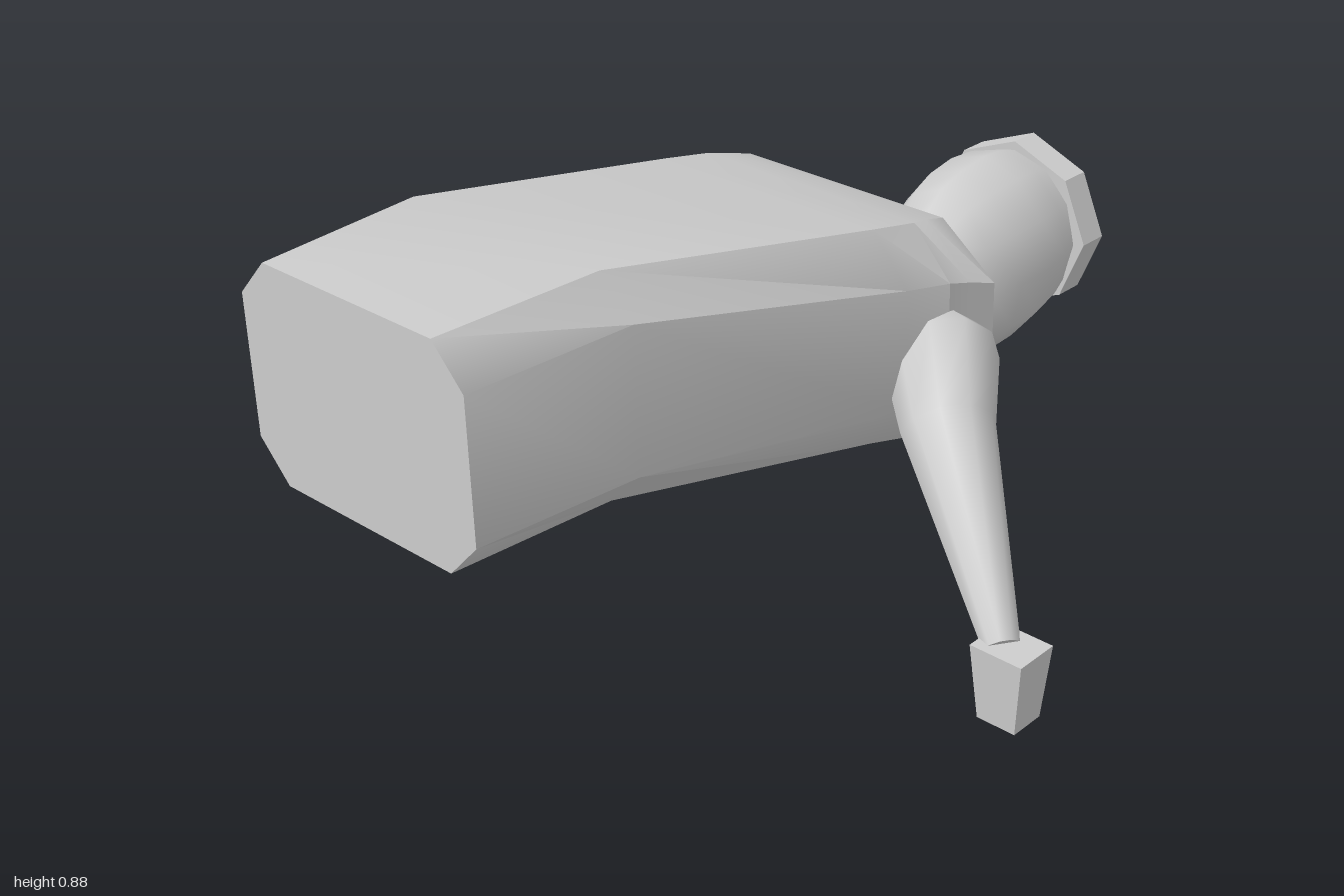
import * as THREE from 'three';
import { toCreasedNormals } from 'three/addons/utils/BufferGeometryUtils.js';

const V = (x, y, z) => new THREE.Vector3(x, y, z);
const CX = -0.145; // body axis

// Skin a list of equal-length rings and cap both ends
function loft(rings, crease) {
  const n = rings[0].length, pos = [];
  const tri = (...pts) => pts.forEach((p) => pos.push(p.x, p.y, p.z));
  for (let i = 0; i < rings.length - 1; i++) {
    for (let j = 0; j < n; j++) {
      const k = (j + 1) % n;
      const a = rings[i][j], b = rings[i][k], c = rings[i + 1][k], d = rings[i + 1][j];
      tri(a, d, b);
      tri(b, d, c);
    }
  }
  const first = rings[0], last = rings[rings.length - 1];
  for (let j = 1; j < n - 1; j++) {
    tri(first[0], first[j], first[j + 1]);
    tri(last[0], last[j + 1], last[j]);
  }
  const g = new THREE.BufferGeometry();
  g.setAttribute('position', new THREE.Float32BufferAttribute(pos, 3));
  return toCreasedNormals(g, crease);
}

// Rectangle with cut corners: z, half width, bottom, top, corner cut x, corner cut y
function cutRect([z, hx, y0, y1, cx, cy]) {
  return [
    [hx, y0 + cy], [hx, y1 - cy], [hx - cx, y1], [cx - hx, y1],
    [-hx, y1 - cy], [-hx, y0 + cy], [cx - hx, y0], [hx - cx, y0],
  ].map(([x, y]) => V(CX + x, y, z));
}

// Upright ellipse on the body axis: z, half width, bottom, top
const ellipse = (sides) => ([z, hx, y0, y1]) =>
  Array.from({ length: sides }, (_, i) => {
    const a = (i / sides) * Math.PI * 2;
    return V(CX + hx * Math.cos(a), (y0 + y1) / 2 + ((y1 - y0) / 2) * Math.sin(a), z);
  });

// Tapered limb through points [x, y, z, radius]
function limb(stations, sides = 10) {
  const p = stations.map((s) => V(s[0], s[1], s[2]));
  const rings = p.map((c, i) => {
    const t = p[Math.min(i + 1, p.length - 1)].clone().sub(p[Math.max(i - 1, 0)]).normalize();
    const u = t.clone().cross(V(0, 1, 0)).normalize();
    const v = u.clone().cross(t);
    return Array.from({ length: sides }, (_, j) => {
      const a = (j / sides) * Math.PI * 2, r = stations[i][3];
      return c.clone().addScaledVector(u, r * Math.cos(a)).addScaledVector(v, r * Math.sin(a));
    });
  });
  return loft(rings, 1.0);
}

// Blocky hand, narrower at the ground
function handGeometry() {
  const g = new THREE.BoxGeometry(0.114, 0.155, 0.095);
  const p = g.attributes.position;
  for (let i = 0; i < p.count; i++) {
    if (p.getY(i) < 0) p.setXYZ(i, p.getX(i) * 0.74, p.getY(i), p.getZ(i) * 0.8);
  }
  g.computeVertexNormals();
  return g;
}

export function createModel() {
  const model = new THREE.Group();
  const grey = new THREE.MeshStandardMaterial({ color: 0xcccccc });
  grey.name = 'plain grey';
  const add = (name, geometry) => {
    const m = new THREE.Mesh(geometry, grey);
    m.name = name;
    model.add(m);
    return m;
  };

  // Torso, from the cut-off waist to the base of the neck
  add('torso', loft([
    [1.0, 0.285, 0.447, 0.875, 0.07, 0.075],
    [0.66, 0.312, 0.442, 0.88, 0.075, 0.075],
    [0.0, 0.355, 0.29, 0.745, 0.085, 0.1],
    [-0.12, 0.362, 0.256, 0.72, 0.09, 0.1],
    [-0.17, 0.372, 0.253, 0.708, 0.11, 0.1],
    [-0.23, 0.385, 0.27, 0.69, 0.13, 0.1],
    [-0.35, 0.143, 0.33, 0.61, 0.05, 0.08],
  ].map(cutRect), 0.75));

  // Neck
  add('neck', loft([
    [-0.33, 0.14, 0.34, 0.615],
    [-0.40, 0.092, 0.34, 0.575],
    [-0.45, 0.068, 0.34, 0.548],
    [-0.52, 0.085, 0.33, 0.54],
  ].map(ellipse(10)), 0.9));

  // Head, with the chin hanging low
  add('head', loft([
    [-0.415, 0.035, 0.26, 0.32],
    [-0.43, 0.07, 0.2, 0.42],
    [-0.48, 0.11, 0.172, 0.52],
    [-0.55, 0.148, 0.165, 0.578],
    [-0.62, 0.172, 0.168, 0.6],
    [-0.70, 0.182, 0.177, 0.61],
    [-0.77, 0.178, 0.205, 0.605],
    [-0.83, 0.165, 0.245, 0.585],
  ].map(ellipse(12)), 1.2));

  // Cap: straight rim and tapered crown
  add('cap', loft([
    [-0.81, 0.197, 0.225, 0.612],
    [-0.88, 0.197, 0.225, 0.612],
    [-1.0, 0.085, 0.335, 0.49],
  ].map(ellipse(8)), 0.3));

  // Arms
  add('leftArm', limb([
    [0.12, 0.455, -0.125, 0.11], [0.22, 0.455, -0.10, 0.115],
    [0.33, 0.405, 0.02, 0.092], [0.61, 0.14, 0.21, 0.036],
  ]));
  add('rightArm', limb([
    [-0.40, 0.455, -0.125, 0.11], [-0.50, 0.455, -0.115, 0.115],
    [-0.60, 0.405, 0.015, 0.092], [-0.592, 0.14, 0.205, 0.045],
  ]));

  // Hands
  const hand = handGeometry();
  add('leftHand', hand).position.set(0.633, 0.0775, 0.213);
  add('rightHand', hand).position.set(-0.592, 0.0775, 0.213);

  return model;
}
